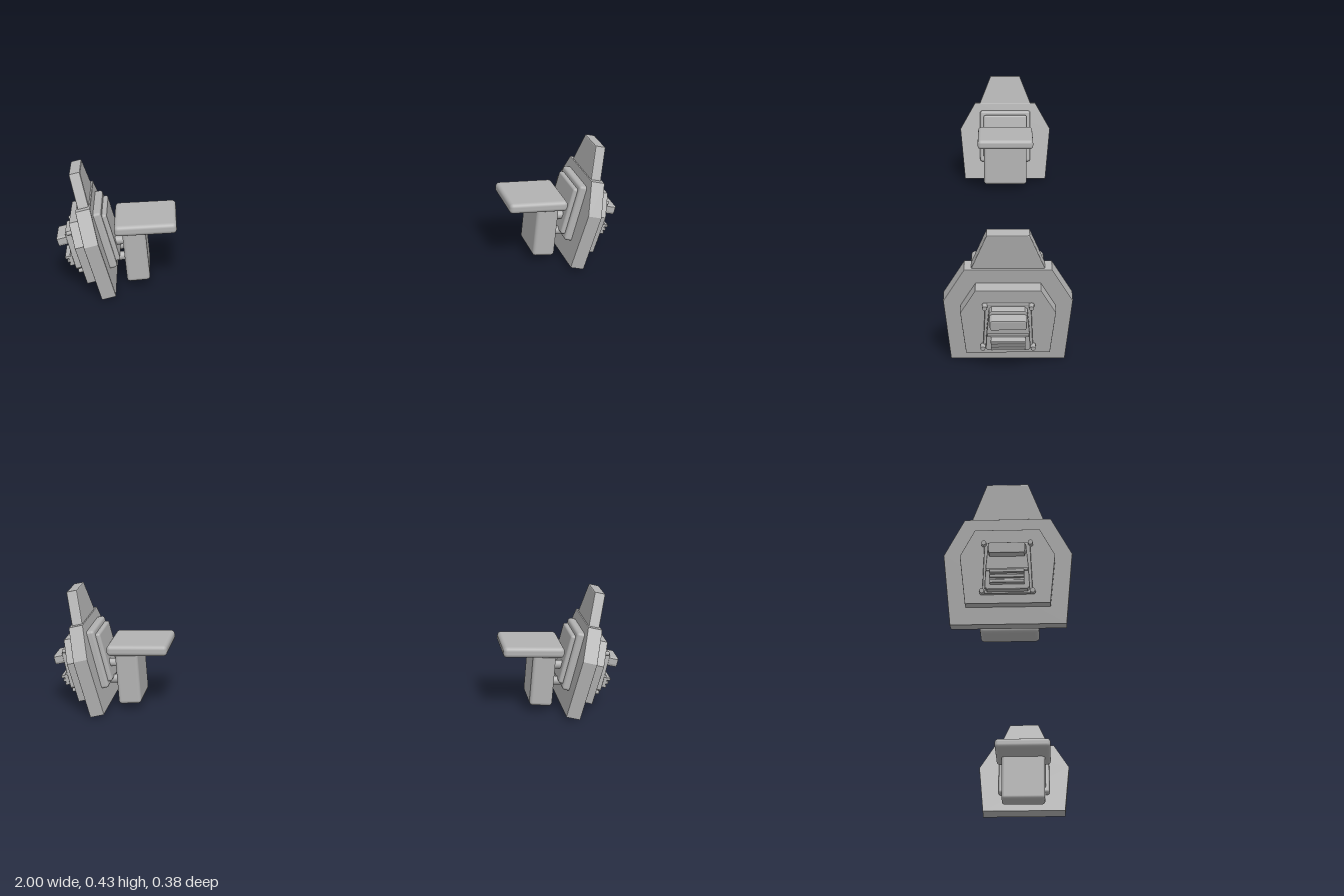
import * as THREE from 'three';
import { RoundedBoxGeometry } from 'three/addons/geometries/RoundedBoxGeometry.js';

const metal = new THREE.MeshStandardMaterial({ color: 0xb2b2b2 });
metal.name = 'grey metal';

function add(parent, name, geometry) {
  const mesh = new THREE.Mesh(geometry, metal);
  mesh.name = name;
  parent.add(mesh);
  return mesh;
}

// Plate mirrored in z: half outline as [halfWidth, height] from bottom to top, thick from x0 to x1
function plate(parent, name, half, x0, x1, bevel = 0) {
  const right = half.map(([w, h]) => new THREE.Vector2(w, h));
  const left = half.map(([w, h]) => new THREE.Vector2(-w, h)).reverse();
  const geometry = new THREE.ExtrudeGeometry(new THREE.Shape([...right, ...left]), {
    depth: x1 - x0 - 2 * bevel, bevelEnabled: bevel > 0, bevelSegments: 2,
    bevelSize: bevel, bevelThickness: bevel, bevelOffset: -bevel,
  });
  geometry.translate(0, 0, x0 + bevel).rotateY(Math.PI / 2);
  return add(parent, name, geometry);
}

// Rounded box given by its x and y ranges and half width in z
function block(parent, name, x0, x1, y0, y1, halfZ, radius) {
  const mesh = add(parent, name, new RoundedBoxGeometry(x1 - x0, y1 - y0, halfZ * 2, 3, radius));
  mesh.position.set((x0 + x1) / 2, (y0 + y1) / 2, 0);
  return mesh;
}

function createPad() {
  const pad = new THREE.Group();

  // Armour leaning outward; local x is its thickness, outer face of the main plate at x = 0
  const armour = new THREE.Group();
  armour.name = 'armour';
  armour.position.x = 0.855;
  armour.rotation.z = -THREE.MathUtils.degToRad(12);
  pad.add(armour);

  plate(armour, 'mainPlate', [[0.169, 0], [0.188, 0.211], [0.126, 0.32]], -0.05, 0, 0.002);
  plate(armour, 'topFin', [[0.112, 0.3], [0.104, 0.325], [0.061, 0.432]], -0.045, -0.007, 0.004);
  plate(armour, 'outerPlate', [[0.123, 0.052], [0.138, 0.196], [0.094, 0.274]], -0.01, 0.038, 0.002);

  // Central fitting with corner rivets
  plate(armour, 'fittingBase', [[0.073, 0.078], [0.066, 0.232]], 0.03, 0.048, 0.004);
  plate(armour, 'fittingPanel',
    [[0.058, 0.084], [0.065, 0.092], [0.062, 0.15], [0.055, 0.218], [0.048, 0.226]], 0.03, 0.07, 0.004);
  for (const [z, y] of [[0.067, 0.228], [0.073, 0.084]]) {
    for (const side of [-1, 1]) {
      const rivet = add(armour, 'rivet', new THREE.CylinderGeometry(0.007, 0.008, 0.018, 12));
      rivet.rotation.z = -Math.PI / 2;
      rivet.position.set(0.052, y, z * side);
    }
  }

  // Upper hood and lower slats
  plate(armour, 'upperHood', [[0.05, 0.182], [0.053, 0.19], [0.053, 0.21], [0.047, 0.214]], 0.06, 0.103, 0.003);
  plate(armour, 'panelRidge', [[0.06, 0.139], [0.06, 0.146]], 0.06, 0.076);
  plate(armour, 'slatBacking', [[0.05, 0.1], [0.05, 0.136]], 0.06, 0.084);
  for (let i = 0; i < 3; i++) {
    block(armour, 'slat', 0.065, 0.088 + i * 0.004, 0.099 + i * 0.014, 0.109 + i * 0.014, 0.05, 0.002);
  }

  // Stepped inner panel
  block(armour, 'innerPanel', -0.075, -0.04, 0.075, 0.288, 0.105, 0.01);
  block(armour, 'innerPanelStep', -0.09, -0.06, 0.092, 0.27, 0.09, 0.008);

  // Mounting bracket: shelf on top, block below, struts joining it to the armour
  block(pad, 'shelf', 0.587, 0.8, 0.205, 0.243, 0.112, 0.014);
  const body = block(pad, 'mountBlock', 0.692, 0.772, 0.022, 0.215, 0.088, 0.012);
  body.rotation.z = -0.035;
  for (const y of [0.105, 0.165]) {
    for (const side of [-1, 1]) {
      const strut = add(pad, 'strut', new THREE.CylinderGeometry(0.015, 0.015, 0.07, 16));
      strut.rotation.z = Math.PI / 2;
      strut.position.set(0.79, y, 0.045 * side);
    }
  }
  return pad;
}

export function createModel() {
  const model = new THREE.Group();
  model.name = 'shoulderPads';
  const left = createPad();
  left.name = 'leftPad';
  // The pad is symmetric in z, so half a turn gives its mirror image
  const right = createPad();
  right.name = 'rightPad';
  right.rotation.y = Math.PI;
  model.add(left, right);
  return model;
}
